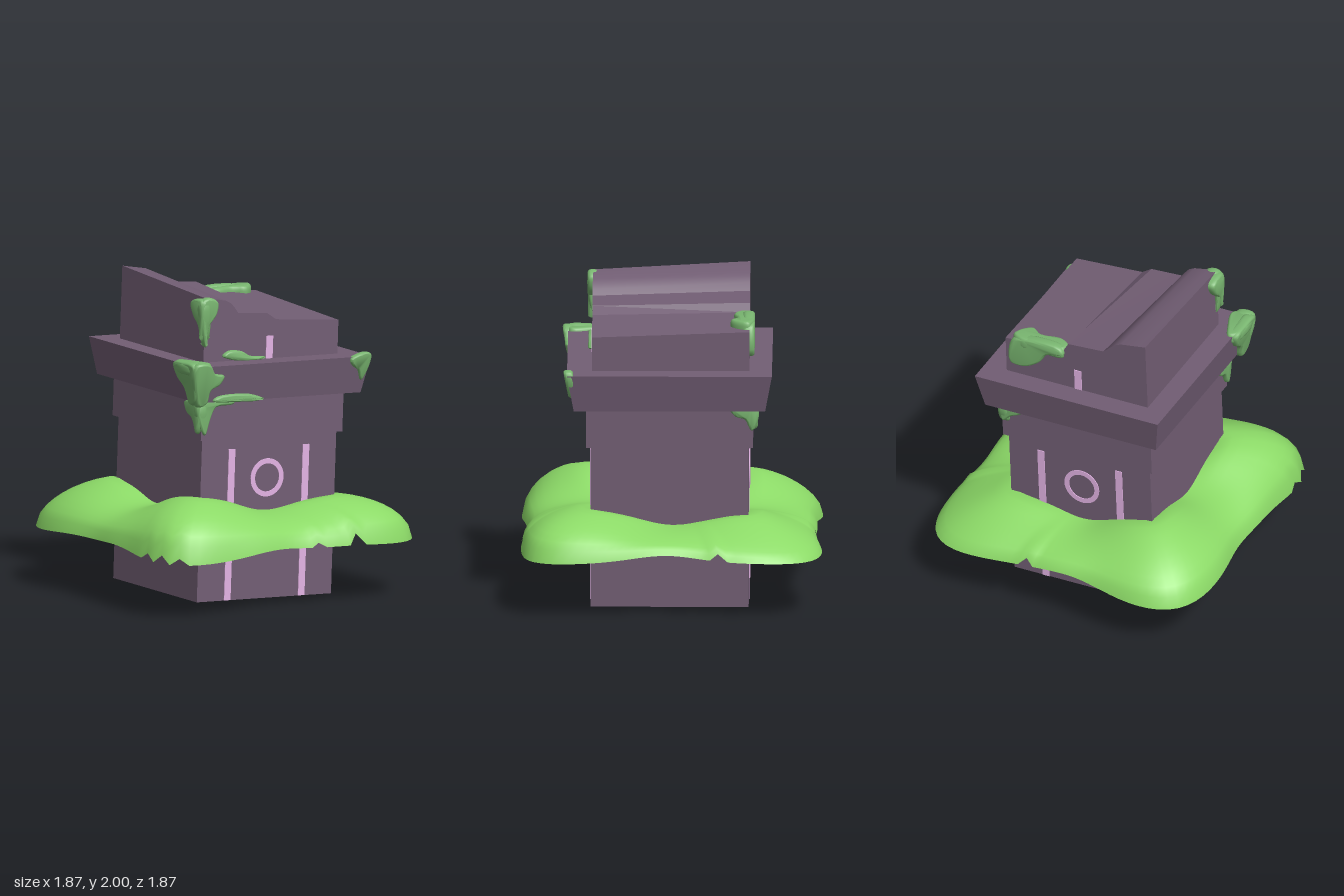
import * as THREE from 'three';
import { toCreasedNormals } from 'three/addons/utils/BufferGeometryUtils.js';

const TILT = 0.0385;

export function createModel() {
  const root = new THREE.Group();
  root.name = 'mossyPillar';
  const mat = (name, color, double) => {
    const m = new THREE.MeshStandardMaterial({ color });
    m.name = name;
    if (double) m.side = THREE.DoubleSide;
    return m;
  };
  const stone = mat('purpleStone', 0x725e74, true);
  const inlay = mat('pinkInlay', 0xe4b4e5);
  const grass = mat('brightMoss', 0x8cda67, true);
  const moss = mat('darkMoss', 0x79b670);

  const add = (parent, name, geometry, material, x = 0, y = 0, z = 0) => {
    const mesh = new THREE.Mesh(geometry, material);
    mesh.name = name;
    mesh.position.set(x, y, z);
    parent.add(mesh);
    return mesh;
  };

  // Leaning stone pillar
  const pillar = new THREE.Group();
  pillar.name = 'pillar';
  pillar.position.set(-0.01, 0.02, 0.007);
  pillar.rotation.z = -TILT;
  root.add(pillar);

  const block = (name, y0, y1, half0, half1, open) => {
    const g = new THREE.CylinderGeometry(half1 * Math.SQRT2, half0 * Math.SQRT2, y1 - y0, 4, 1, open);
    g.rotateY(Math.PI / 4);
    add(pillar, name, toCreasedNormals(g, 0.3), stone, 0, (y0 + y1) / 2, 0);
  };
  block('shaft', 0, 1.02, 0.49, 0.49, true);
  block('collar', 1.02, 1.28, 0.517, 0.517);
  block('capital', 1.273, 1.505, 0.593, 0.635);

  // Inlays on front and back, set through the wall
  const THICK = 0.0098;
  const ringShape = new THREE.Shape().absarc(0, 0, 0.12, 0, Math.PI * 2);
  ringShape.holes.push(new THREE.Path().absarc(0, 0, 0.088, 0, Math.PI * 2, true));
  const ringGeo = new THREE.ExtrudeGeometry(ringShape, { depth: THICK, bevelEnabled: false, curveSegments: 24 });
  for (const s of [1, -1]) {
    const side = s > 0 ? 'front' : 'back';
    for (const x of [-0.27, 0.27])
      add(pillar, side + 'Stripe', new THREE.BoxGeometry(0.047, 0.95, THICK), inlay, x, 0.476, s * 0.49);
    add(pillar, side + 'Ring', ringGeo, inlay, -0.008, 0.758, s * 0.49 - THICK / 2);
    add(pillar, side + 'ShortStripe', new THREE.BoxGeometry(0.049, 0.15, THICK), inlay, -0.016, 1.572, s * 0.488 - 0.007);
  }

  // Broken top block: front and back outlines joined by quads
  const front = [[-0.43, 1.947], [-0.38, 1.94], [-0.28, 1.917], [-0.24, 1.895], [-0.215, 1.865], [-0.19, 1.83], [0.02, 1.81], [0.085, 1.765], [0.54, 1.717]];
  const back = [[-0.43, 2.0], [-0.38, 1.99], [-0.26, 1.967], [-0.225, 1.95], [-0.185, 1.917], [-0.14, 1.873], [0.105, 1.848], [0.135, 1.793], [0.54, 1.752]];
  const pos = [];
  const quad = (a, b, c, d) => pos.push(...a, ...b, ...c, ...a, ...c, ...d);
  const top = (p, z) => [p[0], p[1], z];
  const low = (p, z) => [p[0] - TILT * (p[1] - 1.49), 1.49 - p[0] * TILT, z];
  const Z = 0.488, n = front.length - 1;
  for (let i = 0; i < n; i++) {
    const [f0, f1, b0, b1] = [front[i], front[i + 1], back[i], back[i + 1]];
    quad(top(f0, Z), top(f1, Z), top(b1, -Z), top(b0, -Z));
    quad(low(f0, Z), low(f1, Z), top(f1, Z), top(f0, Z));
    quad(low(b1, -Z), low(b0, -Z), top(b0, -Z), top(b1, -Z));
  }
  quad(low(back[0], -Z), low(front[0], Z), top(front[0], Z), top(back[0], -Z));
  quad(low(front[n], Z), low(back[n], -Z), top(back[n], -Z), top(front[n], Z));
  const roof = new THREE.BufferGeometry();
  roof.setAttribute('position', new THREE.Float32BufferAttribute(pos, 3));
  add(root, 'brokenTop', toCreasedNormals(roof, 0.42), stone);

  // Moss skirt: a draped sheet with humps at the corners and a ragged hem
  add(root, 'mossSkirt', skirtGeometry(), grass);

  // Moss patches: rounded pads laid on the faces, leaning outwards by slope
  const pad = (name, face, at, depth, pts, slope = 0) => {
    const curve = new THREE.CatmullRomCurve3(pts.map(([a, b]) => new THREE.Vector3(a, b, 0)), true);
    const outline = curve.getPoints(pts.length * 4).slice(0, -1).map(p => new THREE.Vector2(p.x, p.y));
    const b = Math.min(0.03, depth * 0.6);
    const g = new THREE.ExtrudeGeometry(new THREE.Shape(outline), {
      depth: depth - b, bevelThickness: b, bevelSize: b * 0.6, bevelOffset: -b * 0.6, bevelSegments: 4,
    });
    const p = g.attributes.position;
    for (let i = 0; i < p.count; i++) p.setZ(i, p.getZ(i) + at + slope * (p.getY(i) - 1.5));
    if (face === 'left') g.rotateY(-Math.PI / 2);
    if (face === 'right') g.rotateY(Math.PI / 2);
    if (face === 'back') g.rotateY(Math.PI);
    if (face === 'top') g.rotateX(-Math.PI / 2);
    add(root, name, toCreasedNormals(g, 1.2), moss);
  };
  // In side pads the first coordinate runs along the face, to the right as seen from outside
  pad('topCornerMoss', 'front', 0.48, 0.04, [[-0.47, 1.92], [-0.42, 1.95], [-0.35, 1.92], [-0.36, 1.84], [-0.415, 1.77], [-0.44, 1.64], [-0.465, 1.74], [-0.475, 1.83]]);
  pad('topCornerMossSide', 'left', 0.43, 0.045, [[0.37, 1.91], [0.44, 1.94], [0.51, 1.93], [0.52, 1.8], [0.49, 1.68], [0.46, 1.77], [0.4, 1.83]]);
  pad('capitalCornerMoss', 'front', 0.625, 0.04, [[-0.61, 1.56], [-0.5, 1.56], [-0.46, 1.5], [-0.39, 1.48], [-0.42, 1.42], [-0.48, 1.39], [-0.5, 1.31], [-0.56, 1.29], [-0.59, 1.36]], 0.19);
  pad('capitalCornerMossSide', 'left', 0.57, 0.045, [[0.4, 1.55], [0.52, 1.57], [0.65, 1.56], [0.65, 1.47], [0.615, 1.32], [0.54, 1.3], [0.5, 1.4], [0.43, 1.46]], 0.14);
  pad('capitalCornerMossTop', 'top', 1.52, 0.045, [[-0.61, -0.42], [-0.56, -0.39], [-0.51, -0.48], [-0.47, -0.62], [-0.53, -0.65], [-0.61, -0.63]]);
  pad('collarCornerMoss', 'front', 0.505, 0.035, [[-0.51, 1.3], [-0.24, 1.3], [-0.25, 1.27], [-0.38, 1.26], [-0.42, 1.19], [-0.46, 1.09], [-0.49, 1.13]]);
  pad('collarCornerMossSide', 'left', 0.47, 0.045, [[0.36, 1.29], [0.53, 1.3], [0.53, 1.15], [0.5, 1.1], [0.45, 1.19], [0.39, 1.22]]);
  pad('capitalRightMoss', 'front', 0.625, 0.035, [[0.53, 1.49], [0.57, 1.515], [0.65, 1.53], [0.68, 1.51], [0.66, 1.41], [0.62, 1.35], [0.59, 1.42], [0.55, 1.45]], 0.19);
  pad('ledgeMoss', 'front', 0.48, 0.035, [[-0.31, 1.57], [-0.27, 1.6], [-0.17, 1.59], [-0.11, 1.555], [0, 1.54], [-0.03, 1.525], [-0.18, 1.53], [-0.27, 1.55]]);
  pad('capitalHemMoss', 'front', 0.585, 0.04, [[-0.45, 1.32], [-0.42, 1.345], [-0.25, 1.35], [-0.16, 1.335], [-0.08, 1.3], [-0.15, 1.29], [-0.3, 1.3], [-0.4, 1.305]]);
  pad('roofMoss', 'top', 1.755, 0.052, [[0.13, 0.43], [0.14, 0.5], [0.3, 0.51], [0.42, 0.52], [0.49, 0.48], [0.46, 0.41], [0.4, 0.37], [0.33, 0.41], [0.2, 0.39]]);
  pad('roofMossBack', 'back', 0.475, 0.045, [[-0.49, 1.77], [-0.4, 1.805], [-0.15, 1.805], [-0.13, 1.76], [-0.24, 1.73], [-0.3, 1.65], [-0.4, 1.59], [-0.5, 1.6]]);
  pad('collarBackMoss', 'right', 0.525, 0.045, [[0.36, 1.28], [0.54, 1.28], [0.53, 1.16], [0.5, 1.13], [0.46, 1.2], [0.4, 1.22]]);
  pad('collarBackMossRear', 'back', 0.495, 0.045, [[-0.56, 1.28], [-0.36, 1.28], [-0.42, 1.22], [-0.48, 1.19], [-0.54, 1.14]]);
  return root;
}

function skirtGeometry() {
  const A = 120, R = 10, pos = [], idx = [];
  const square = (c, s, p) => Math.pow(Math.abs(c) ** p + Math.abs(s) ** p, -1 / p);
  // Notches in the hem, by segment
  const slits = { 22: 0.07, 27: 0.03, 45: 0.04, 47: 0.05, 49: 0.04, 94: 0.05, 114: 0.045 };
  for (let i = 0; i < A; i++) {
    const a = (i / A) * Math.PI * 2, c = Math.cos(a), s = Math.sin(a);
    const corner = Math.sin(2 * a) ** 2;
    // The two back corners fall away more steeply, most of all the one at +x
    const flat = s < 0 ? corner * (c > 0 ? 0.75 : 0.35) : 0;
    const mid = 0.555 - 0.03 * c + 0.02 * s;
    const high = 0.665 - 0.055 * c + 0.012 * s;
    const peak = mid + (high - mid) * corner;
    const slit = slits[i] || 0;
    const edge = 0.4 - 0.042 * corner + 0.012 * Math.sin(7 * a + 1) * (1 - corner) + slit;
    const outer = (0.9 + 0.055 * corner + 0.006 * Math.sin(11 * a) - slit * 0.3) * square(c, s, 5.5);
    const inner = 0.44 * square(c, s, 8);
    for (let j = 0; j <= R; j++) {
      const t = 1 - (1 - j / R) ** 1.4;
      const r = inner + (outer - inner) * t;
      const dip = corner * 0.06 * Math.max(0, 1 - t / 0.3) ** 2;
      const round = Math.sqrt(Math.max(0, 1 - t ** 2.4));
      const fall = round + (1 - t ** 1.5 - round) * flat;
      pos.push(c * r, edge + (peak - edge) * fall - dip, s * r);
      if (j < R) {
        const p = i * (R + 1) + j, q = ((i + 1) % A) * (R + 1) + j;
        idx.push(p, q, q + 1, p, q + 1, p + 1);
      }
    }
  }
  const g = new THREE.BufferGeometry();
  g.setAttribute('position', new THREE.Float32BufferAttribute(pos, 3));
  g.setIndex(idx);
  g.computeVertexNormals();
  return g;
}
